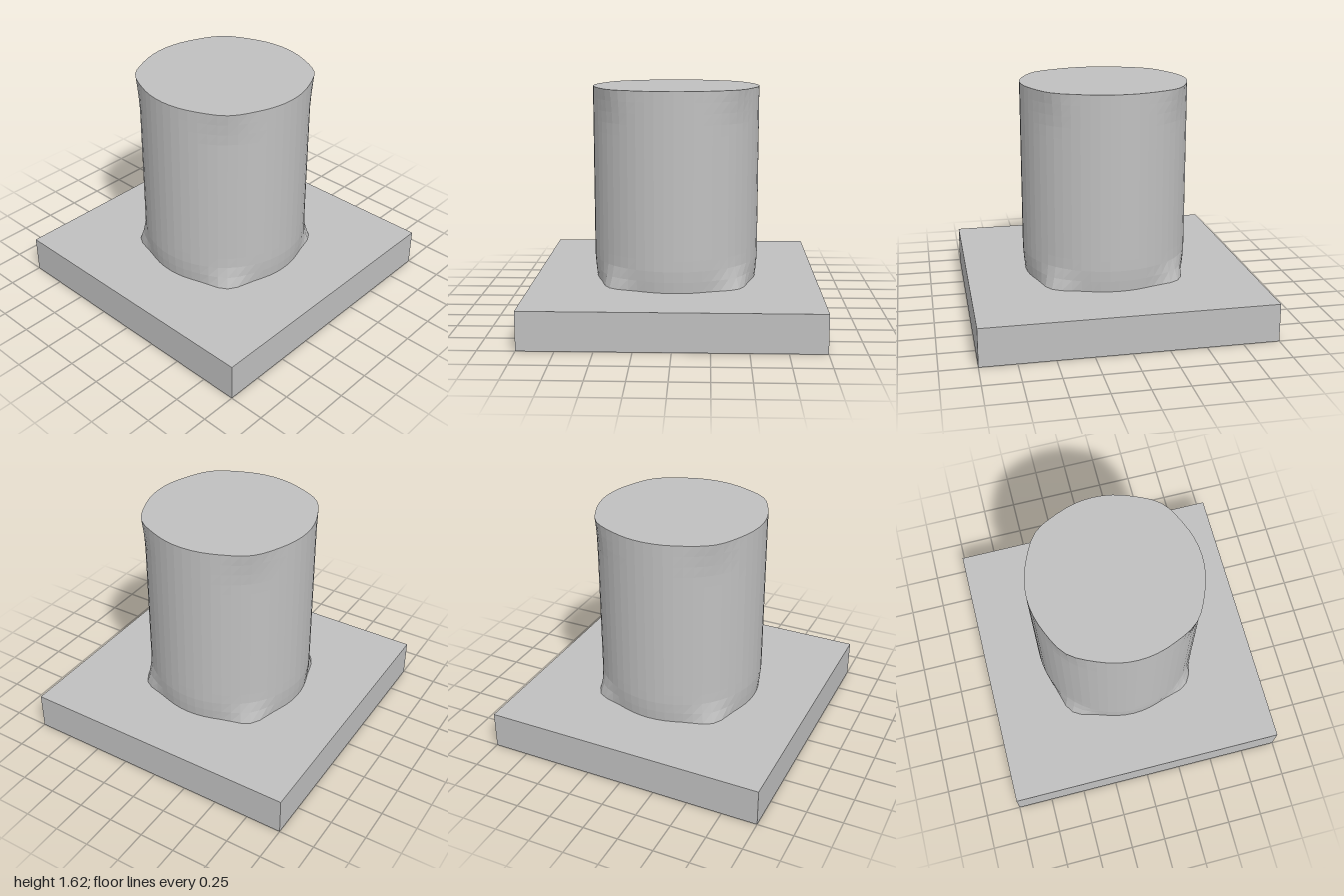
import * as THREE from 'three';

const BASE_H = 0.265, TOP = 1.625, RADIUS = 0.586;

// Slightly irregular round column: pinched on the axes and flared on the diagonals near its ends
function columnGeometry() {
  const h = TOP - BASE_H;
  const geo = new THREE.CylinderGeometry(RADIUS, RADIUS, h, 56, 18);
  geo.translate(0, BASE_H + h / 2, 0);
  const pos = geo.attributes.position;
  for (let i = 0; i < pos.count; i++) {
    const x = pos.getX(i), y = pos.getY(i), z = pos.getZ(i);
    const r = Math.hypot(x, z);
    if (r < 1e-4) continue;
    const corner = Math.abs(Math.sin(2 * Math.atan2(z, x))) ** 10;
    const foot = Math.max(0, 1 - (y - BASE_H) / 0.17) ** 1.5;
    const rim = Math.max(0, 1 - (TOP - y) / 0.25) ** 1.5;
    const radius = RADIUS + foot * (0.058 * corner - 0.014) + rim * 0.022 * corner;
    pos.setX(i, x * radius / r);
    pos.setZ(i, z * radius / r);
  }
  geo.computeVertexNormals();
  return geo;
}

export function createModel() {
  const group = new THREE.Group();
  group.name = 'pedestal';
  const grey = new THREE.MeshStandardMaterial({ color: 0xc0c0c0, flatShading: true });
  grey.name = 'grey';

  // Square plate
  const base = new THREE.Mesh(new THREE.BoxGeometry(2, BASE_H, 2), grey);
  base.name = 'basePlate';
  base.position.y = BASE_H / 2;

  const column = new THREE.Mesh(columnGeometry(), grey);
  column.name = 'column';

  group.add(base, column);
  return group;
}
